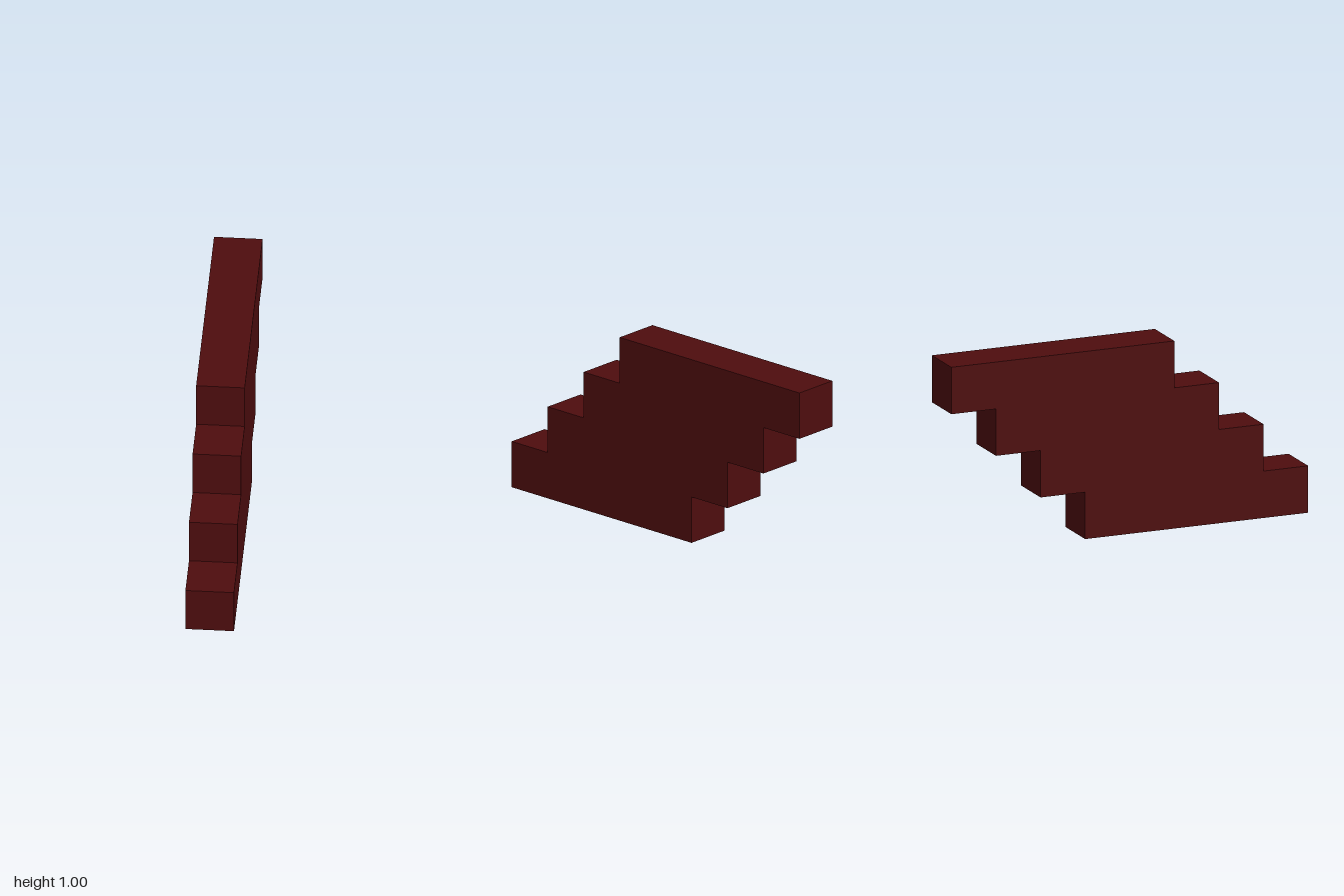
import * as THREE from 'three';

const STEPS = 4, RISE = 0.25, LENGTH = 1.25, WIDTH = 0.25;

export function createModel() {
  const group = new THREE.Group();
  group.name = 'staircase';

  const darkRed = new THREE.MeshStandardMaterial({ color: 0x4e0d0e });
  darkRed.name = 'darkRed';

  // Side profile: up the front treads, then down the stepped underside
  const front = [], back = [];
  for (let i = 0; i < STEPS; i++) {
    const z = 1 - i * RISE, y = i * RISE;
    front.push(new THREE.Vector2(z, y), new THREE.Vector2(z, y + RISE));
    back.push(new THREE.Vector2(z - LENGTH, y), new THREE.Vector2(z - LENGTH, y + RISE));
  }
  const profile = new THREE.Shape([...front, ...back.reverse()]);

  // Extrude across the width and turn the profile to run along z
  const geometry = new THREE.ExtrudeGeometry(profile, { depth: WIDTH, bevelEnabled: false });
  geometry.translate(0, 0, -WIDTH / 2);
  geometry.rotateY(-Math.PI / 2);

  const steps = new THREE.Mesh(geometry, darkRed);
  steps.name = 'steps';
  group.add(steps);
  return group;
}
